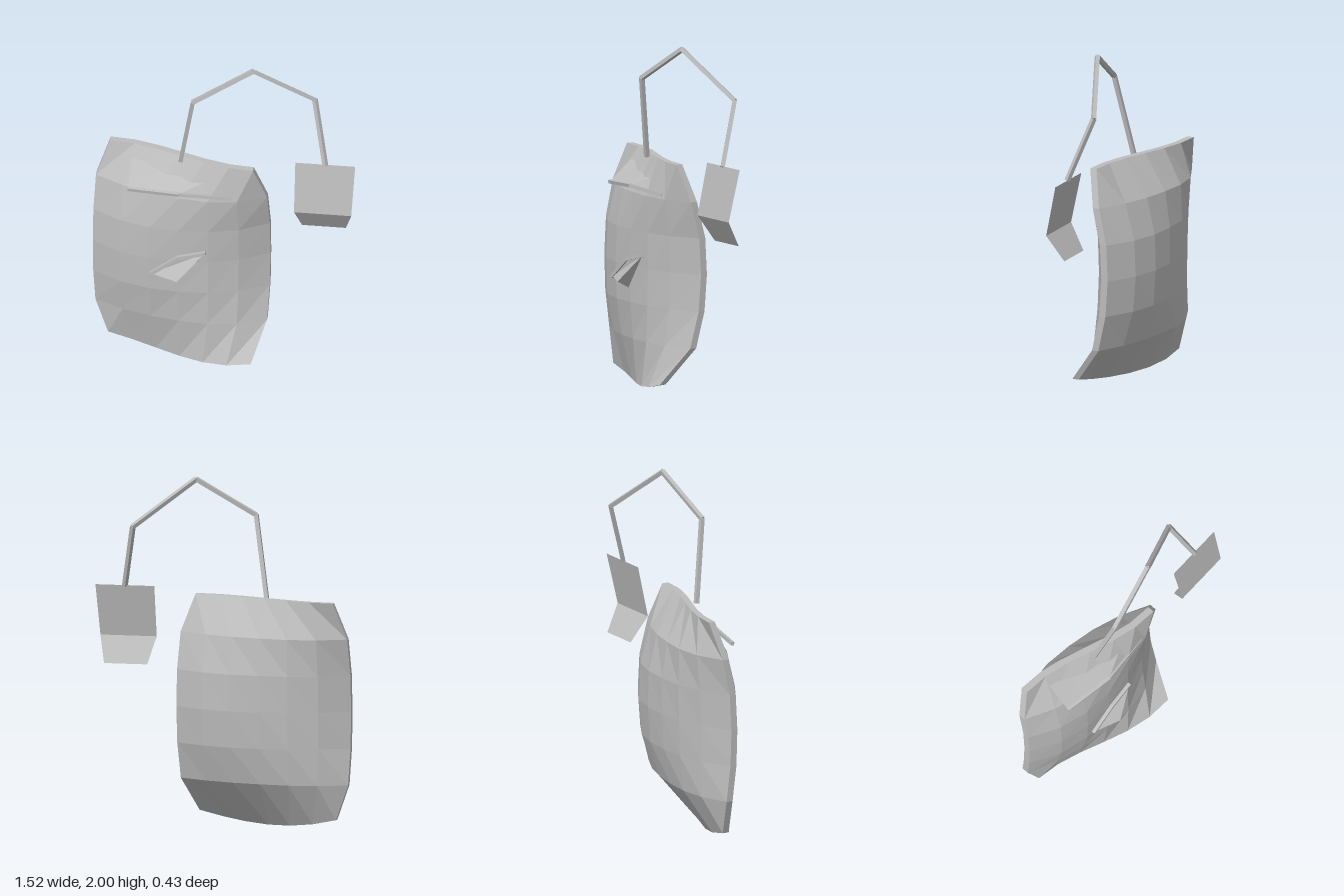
import * as THREE from 'three';

const grey = new THREE.MeshStandardMaterial({ color: 0xbcbcbc, flatShading: true, side: THREE.DoubleSide });
grey.name = 'plain grey';

const COLS = 6, ROWS = 6, CX = -0.25;
// one entry per row, bottom to top
const halfWidth = [0.425, 0.5, 0.51, 0.512, 0.51, 0.5, 0.425];
const midDepth = [0.065, -0.025, -0.04, -0.045, -0.045, -0.04, -0.038];
const twist = [0.115, 0.045, 0.01, 0, 0.01, 0.055, 0.105];
const bulge = [0, 0.115, 0.145, 0.152, 0.15, 0.125, 0];
const RIM = 0.02;

// point on the body; side is +1 for front, -1 for back
function bodyPoint(i, j, side) {
  const u = (i / COLS) * 2 - 1;
  const bottom = 0.055 * u * u;
  const lift = j === 0 ? bottom : 0.05 + (j / ROWS) * 1.27;
  const mid = midDepth[j] + twist[j] * Math.sin((u * Math.PI) / 2);
  const thick = RIM + bulge[j] * (1 - Math.pow(Math.abs(u), 2.5));
  return [CX + u * halfWidth[j], lift, mid + side * thick];
}

function facets(name, quads) {
  const pos = [];
  for (const [a, b, c, d] of quads) {
    pos.push(...a, ...b, ...c);
    if (d) pos.push(...a, ...c, ...d);
  }
  const geo = new THREE.BufferGeometry();
  geo.setAttribute('position', new THREE.Float32BufferAttribute(pos, 3));
  geo.computeVertexNormals();
  const mesh = new THREE.Mesh(geo, grey);
  mesh.name = name;
  return mesh;
}

// twisted pillow: front, back and the narrow rim between them
function makeBody() {
  const quads = [];
  for (let j = 0; j < ROWS; j++) {
    for (let i = 0; i < COLS; i++) {
      const cell = (s) => [bodyPoint(i, j, s), bodyPoint(i + 1, j, s), bodyPoint(i + 1, j + 1, s), bodyPoint(i, j + 1, s)];
      const [a, b, c, d] = cell(1);
      const [e, f, g, h] = cell(-1);
      quads.push([a, b, c, d], [e, h, g, f]);
      if (i === 0) quads.push([e, a, d, h]);
      if (i === COLS - 1) quads.push([b, f, g, c]);
      if (j === 0) quads.push([e, f, b, a]);
      if (j === ROWS - 1) quads.push([d, c, g, h]);
    }
  }
  return facets('body', quads);
}

// square rod following a list of points
function makeRod(name, points, size) {
  const group = new THREE.Group();
  group.name = name;
  const up = new THREE.Vector3(0, 1, 0);
  for (let k = 0; k + 1 < points.length; k++) {
    const a = new THREE.Vector3(...points[k]);
    const b = new THREE.Vector3(...points[k + 1]);
    const dir = b.clone().sub(a);
    const rod = new THREE.Mesh(new THREE.BoxGeometry(size, dir.length() + size * 0.25, size), grey);
    rod.position.copy(a).add(b).multiplyScalar(0.5);
    rod.quaternion.setFromUnitVectors(up, dir.normalize());
    rod.name = name + 'Segment';
    group.add(rod);
  }
  return group;
}

export function createModel() {
  const model = new THREE.Group();
  model.name = 'model';
  model.add(makeBody());

  // bent strap from the body to the hanging tag
  model.add(makeRod('strap', [
    [-0.25, 1.31, 0.015], [-0.17, 1.78, 0.1], [0.17, 1.985, 0.045], [0.51, 1.72, -0.095], [0.585, 1.36, 0.035],
  ], 0.024));

  // hanging tag with a lower flap folded backwards
  model.add(facets('hangingTag', [
    [[0.412, 1.06, 0.095], [0.742, 1.06, 0.095], [0.757, 1.36, 0.03], [0.412, 1.36, 0.03]],
    [[0.447, 0.91, 0], [0.7, 0.91, 0], [0.742, 1.06, 0.095], [0.412, 1.06, 0.095]],
  ]));

  // upper flap leaning back into the body
  const edge = [[-0.545, 1.13, 0.075], [-0.25, 1.15, 0.128], [0.05, 1.13, 0.1]];
  const inner = [[-0.54, 1.31, -0.135], [-0.25, 1.3, -0.06], [0.05, 1.28, 0.02]];
  model.add(facets('upperFlap', [
    [edge[0], edge[1], inner[1], inner[0]],
    [edge[1], edge[2], inner[2], inner[1]],
  ]));
  model.add(makeRod('upperFlapEdge', edge, 0.02));

  // small pointed pocket
  const left = [-0.405, 0.605, 0.15], top = [-0.25, 0.725, 0.15], right = [-0.095, 0.765, 0.145];
  const tip = [-0.25, 0.6, 0.213], base = [-0.25, 0.56, 0.14];
  model.add(facets('pocket', [
    [left, tip, right, top],
    [left, base, tip],
    [tip, base, right],
    [left, top, right, base],
  ]));
  model.add(makeRod('pocketEdge', [left, top, right], 0.02));
  return model;
}
